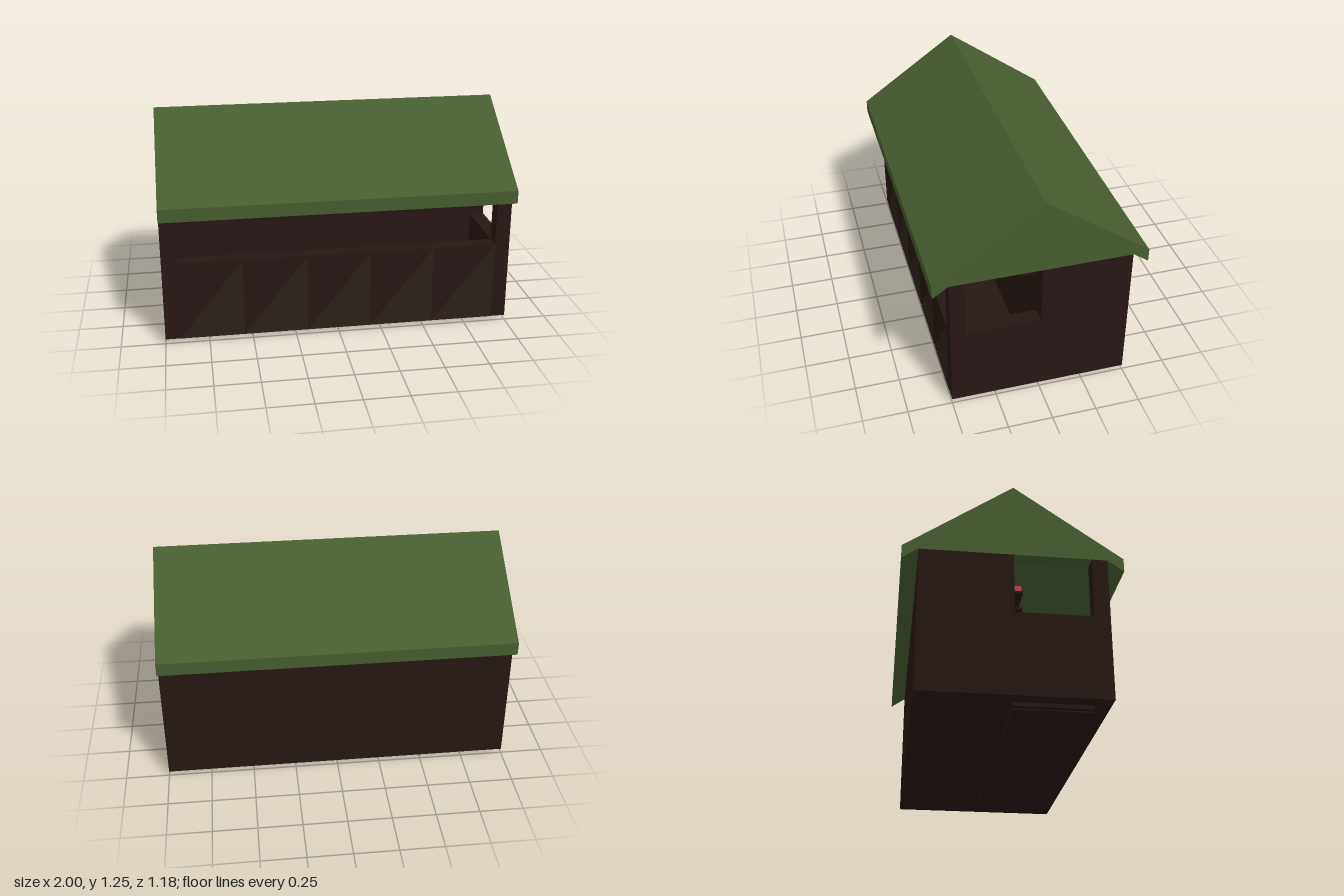
import * as THREE from 'three';

const mat = (color) => new THREE.MeshStandardMaterial({ color });
const wood = mat(0x261714), panelWood = mat(0x2c2119), green = mat(0x475c30);
const red = mat(0xc83c50), purple = mat(0x5a1460), blue = mat(0x5078c8), yellow = mat(0xdcc83c);

// Box given by its limits on each axis
function box(parent, name, material, [x0, x1], [y0, y1], [z0, z1]) {
  const mesh = new THREE.Mesh(new THREE.BoxGeometry(x1 - x0, y1 - y0, z1 - z0), material);
  mesh.position.set((x0 + x1) / 2, (y0 + y1) / 2, (z0 + z1) / 2);
  mesh.name = name;
  parent.add(mesh);
  return mesh;
}

// Extrude a [z, y] outline along x, from x0 to x1
function alongX(parent, name, material, points, x0, x1) {
  const shape = new THREE.Shape(points.map(([z, y]) => new THREE.Vector2(-z, y)));
  const geo = new THREE.ExtrudeGeometry(shape, { depth: x1 - x0, bevelEnabled: false });
  geo.rotateY(Math.PI / 2).translate(x0, 0, 0);
  const mesh = new THREE.Mesh(geo, material);
  mesh.name = name;
  parent.add(mesh);
}

export function createModel() {
  const model = new THREE.Group();
  model.name = 'marketStall';
  const base = 0.027, sill = 0.49, eave = 0.83, inX = 0.915, inZ = 0.415;

  // Closed back room, with its front wall rising into the roof
  alongX(model, 'backRoom', wood,
    [[0, base], [-0.5, base], [-0.5, eave], [0, 1.178]], -inX, inX);

  // Counter front, serving floor and its lower edge
  box(model, 'counterFront', wood, [-inX, inX], [base, sill], [inZ, 0.5]);
  box(model, 'floor', wood, [-inX, inX], [0.006, 0.035], [0, inZ]);
  box(model, 'floorFoot', wood, [-0.885, 0.885], [0, 0.006], [0.003, inZ - 0.003]);

  // End walls, corner posts and gables
  for (const s of [-1, 1]) {
    const x = s < 0 ? [-1, -inX] : [inX, 1];
    box(model, 'backEndWall', wood, x, [base, eave], [-0.5, 0]);
    box(model, 'frontEndWall', wood, x, [base, sill], [0, 0.5]);
    box(model, 'cornerPost', wood, x, [sill, eave], [inZ, 0.5]);
    alongX(model, 'gable', green, [[-0.5, eave], [0, 1.178], [0.5, eave]], x[0], x[1]);
  }

  // Pitched roof with overhanging eaves
  alongX(model, 'roof', green, [
    [0, 1.255], [0.588, 0.845], [0.588, 0.77], [0, 1.178], [-0.588, 0.77], [-0.588, 0.845],
  ], -1, 1);

  // Five triangular panels on the counter front
  const w = (2 * inX) / 5;
  for (let i = 0; i < 5; i++) {
    const x = -inX + i * w;
    const tri = new THREE.Shape([
      new THREE.Vector2(x, base), new THREE.Vector2(x + w, base), new THREE.Vector2(x + w, sill),
    ]);
    const panel = new THREE.Mesh(new THREE.ShapeGeometry(tri), panelWood);
    panel.position.z = 0.502;
    panel.name = 'trianglePanel';
    model.add(panel);
  }

  // Shelves on the back wall: x limits and underside height
  const shelves = [
    [-0.78, -0.44, 0.625], [-0.11, 0.22, 0.625],
    [-0.8, -0.1, 0.712], [0.08, 0.88, 0.712],
    [-0.5, 0.3, 0.8],
  ];
  for (const [x0, x1, y] of shelves) {
    box(model, 'shelf', wood, [x0, x1], [y, y + 0.017], [0, 0.075]);
  }

  // Goods: material, x limits, bottom, top, z limits
  const goods = [
    [red, -0.78, -0.725, 0.729, 0.77, 0.015, 0.07],
    [purple, -0.69, -0.672, 0.729, 0.785, 0.03, 0.065],
    [blue, -0.51, -0.482, 0.642, 0.68, 0.045, 0.072],
    [blue, 0.02, 0.07, 0.642, 0.665, 0.015, 0.07],
    [purple, 0.195, 0.222, 0.729, 0.785, 0.03, 0.065],
    [red, 0.225, 0.265, 0.729, 0.765, 0.015, 0.07],
    [yellow, 0.67, 0.7, 0.729, 0.757, 0.03, 0.06],
    [blue, -0.3, -0.25, 0.817, 0.85, 0.02, 0.06],
    [yellow, 0.1, 0.14, 0.817, 0.845, 0.03, 0.07],
  ];
  for (const [m, x0, x1, y0, y1, z0, z1] of goods) {
    box(model, 'goods', m, [x0, x1], [y0, y1], [z0, z1]);
  }
  return model;
}
